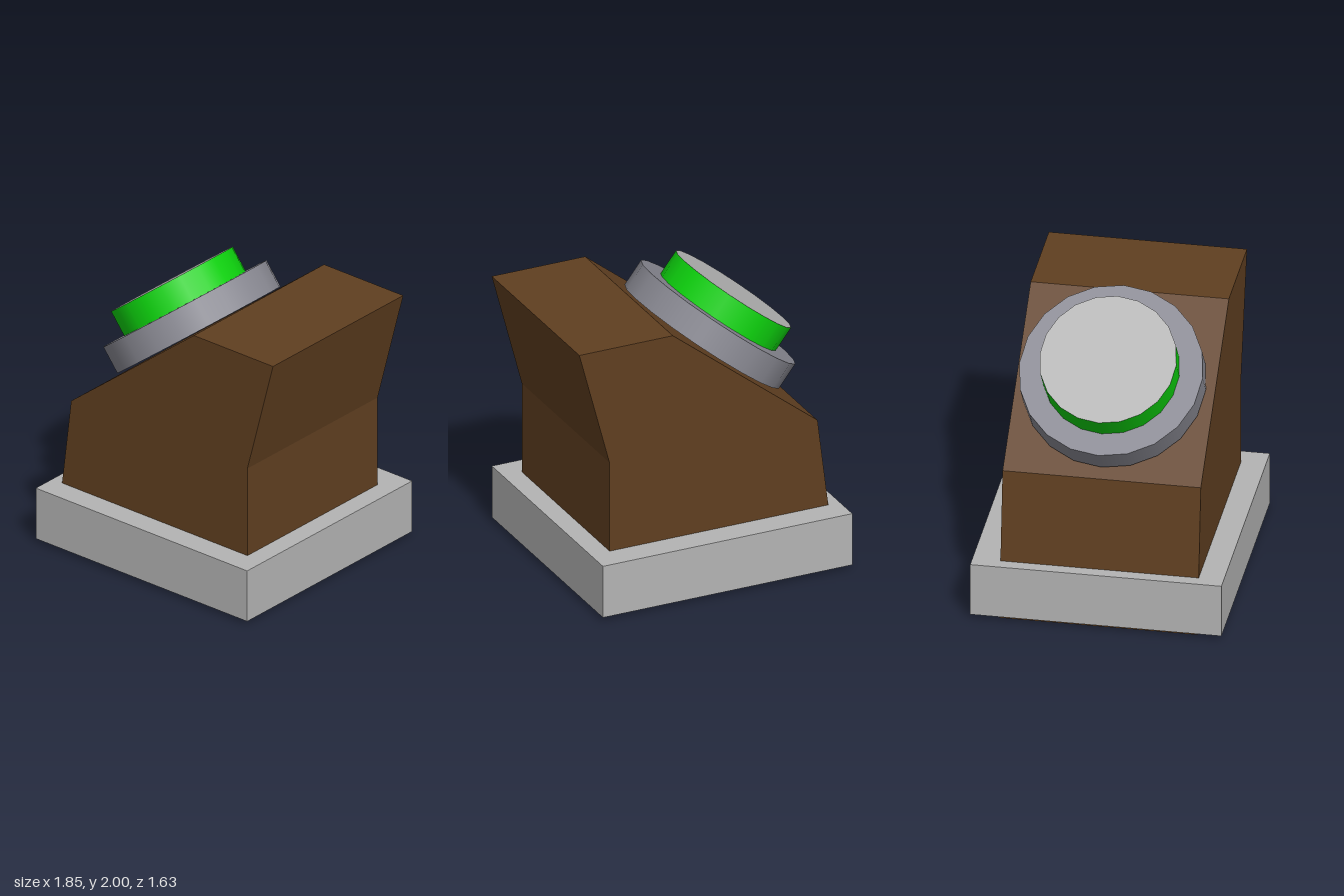
import * as THREE from 'three';

const material = (name, color) => {
  const m = new THREE.MeshStandardMaterial({ color });
  m.name = name;
  return m;
};

export function createModel() {
  const brown = material('brown', 0x603f20);
  const lightGrey = material('lightGrey', 0xb3b3b3);
  const steel = material('steelGrey', 0x878790);
  const green = material('green', 0x0dd00d);

  const model = new THREE.Group();
  model.name = 'buttonPedestal';
  const add = (parent, name, geometry, mat) => {
    const mesh = new THREE.Mesh(geometry, mat);
    mesh.name = name;
    parent.add(mesh);
    return mesh;
  };

  // Base plinth
  add(model, 'plinth', new THREE.BoxGeometry(1.775, 0.365, 1.635), lightGrey)
    .position.set(-0.042, 0.208, 0);

  // Sloped housing: side profile extruded through the depth
  const profile = new THREE.Shape([
    [-0.895, 0], [0.71, 0], [0.71, 1.02], [0.925, 1.83], [0.26, 1.83], [-0.77, 1.01],
  ].map(([x, y]) => new THREE.Vector2(x, y)));
  const housing = new THREE.ExtrudeGeometry(profile, { depth: 1.29, bevelEnabled: false });
  add(model, 'housing', housing.translate(0, 0, -0.635), brown);

  // Round button, tilted to match the slope and hovering just above it
  const button = new THREE.Group();
  button.name = 'button';
  button.position.set(-0.253, 1.438, 0);
  button.rotation.z = THREE.MathUtils.degToRad(38);
  model.add(button);

  const disc = (name, radius, height, y, mat) =>
    add(button, name, new THREE.CylinderGeometry(radius, radius, height, 20), mat)
      .position.y = y + height / 2;
  disc('buttonCollar', 0.596, 0.19, 0, steel);
  // Green side with a light grey top face
  disc('buttonCap', 0.444, 0.178, 0.19, [green, lightGrey, green]);

  return model;
}
